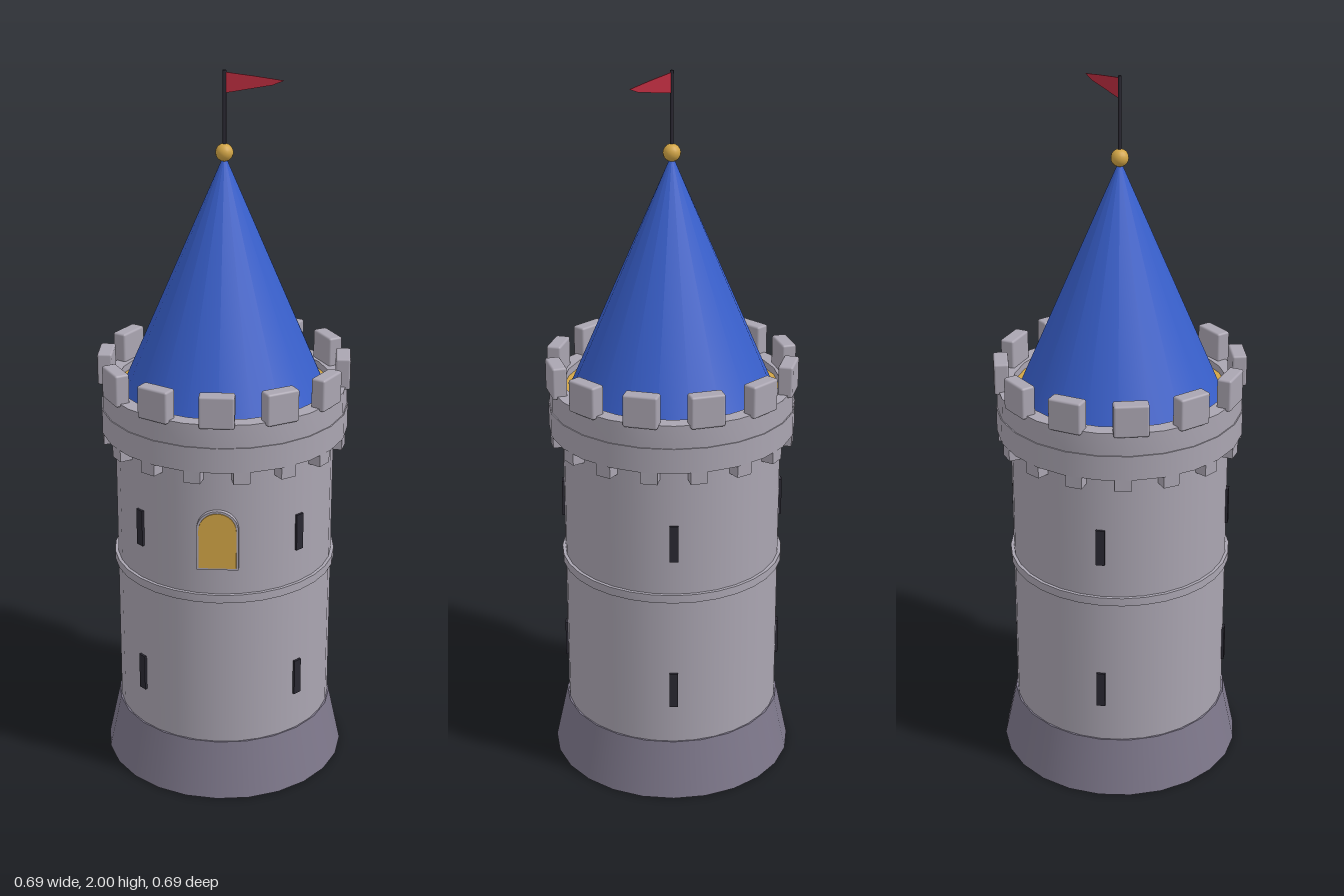
import * as THREE from 'three';
import { toCreasedNormals } from 'three/addons/utils/BufferGeometryUtils.js';
import { RoundedBoxGeometry } from 'three/addons/geometries/RoundedBoxGeometry.js';

const material = (name, color, side = THREE.FrontSide) => {
  const m = new THREE.MeshStandardMaterial({ color, side });
  m.name = name;
  return m;
};

export function createModel() {
  const stone = material('stone', 0xaaa5b1);
  const darkStone = material('darkStone', 0x7d778a);
  const blue = material('roofBlue', 0x385fcb);
  const gold = material('gold', 0xd2a546);
  const dark = material('darkIron', 0x2a2832);
  const red = material('flagRed', 0xb82c3e, THREE.DoubleSide);

  const tower = new THREE.Group();
  tower.name = 'castleTower';

  const add = (name, geometry, mat, y = 0, parent = tower) => {
    const mesh = new THREE.Mesh(geometry, mat);
    mesh.name = name;
    mesh.position.y = y;
    parent.add(mesh);
    return mesh;
  };

  // Cylinder or cone given by its bottom and top heights
  const drum = (name, mat, rBottom, rTop, y0, y1, sides = 24) =>
    add(name, new THREE.CylinderGeometry(rTop, rBottom, y1 - y0, sides), mat, (y0 + y1) / 2);

  // Hollow ring of rectangular section
  const band = (name, mat, rIn, rOut, y0, y1, sides = 24) => {
    const section = [[rOut, y0], [rOut, y1], [rIn, y1], [rIn, y0], [rOut, y0]];
    const lathe = new THREE.LatheGeometry(section.map(p => new THREE.Vector2(...p)), sides);
    return add(name, toCreasedNormals(lathe, 0.6), mat);
  };

  // Repeats a part around the tower, facing outwards
  const around = (name, geometry, mat, count, startAngle, radius, y) => {
    const group = new THREE.Group();
    group.name = name + 's';
    tower.add(group);
    for (let i = 0; i < count; i++) {
      const a = startAngle + (i / count) * Math.PI * 2;
      const mesh = add(name, geometry, mat, y, group);
      mesh.position.set(Math.sin(a) * radius, y, Math.cos(a) * radius);
      mesh.rotation.y = a;
    }
  };

  // Walls
  drum('base', darkStone, 0.345, 0.31, 0, 0.165);
  drum('wall', stone, 0.305, 0.305, 0.16, 1.02, 32);
  band('stringCourse', stone, 0.295, 0.314, 0.61, 0.634, 32);

  // Battlements
  drum('cornice', stone, 0.343, 0.343, 1.01, 1.08);
  band('parapet', stone, 0.298, 0.34, 1.08, 1.145);
  around('corbel', new THREE.BoxGeometry(0.045, 0.045, 0.05), stone, 16, Math.PI / 16, 0.314, 0.998);
  around('merlon', new RoundedBoxGeometry(0.094, 0.09, 0.041, 2, 0.006), stone, 12, 0, 0.3265, 1.181);

  // Arrow slits, two rows on the diagonals
  for (const y of [0.333, 0.787]) {
    around('arrowSlit', new THREE.BoxGeometry(0.024, 0.106, 0.02), dark, 4, Math.PI / 4, 0.301, y);
  }

  // Arched window: stone frame with a glowing pane
  const arch = (halfWidth, bottom, spring) => {
    const s = new THREE.Shape();
    s.moveTo(-halfWidth, bottom);
    s.lineTo(halfWidth, bottom);
    s.lineTo(halfWidth, spring);
    s.absarc(0, spring, halfWidth, 0, Math.PI, false);
    s.closePath();
    return s;
  };
  const extrude = (shape, depth) =>
    new THREE.ExtrudeGeometry(shape, { depth, bevelEnabled: false, curveSegments: 10 });
  add('windowFrame', extrude(arch(0.057, 0.713, 0.83), 0.038), stone).position.z = 0.278;
  add('windowPane', extrude(arch(0.051, 0.719, 0.83), 0.004), gold).position.z = 0.315;

  // Roof
  band('eavesTrim', gold, 0.27, 0.302, 1.09, 1.125, 20);
  add('roof', new THREE.ConeGeometry(0.288, 0.67, 20), blue, 1.445);
  add('finial', new THREE.SphereGeometry(0.024, 16, 12), gold, 1.783);

  // Flag
  drum('flagPole', dark, 0.005, 0.005, 1.78, 2, 8);
  const pennant = new THREE.Shape([[0, 1.94], [0.125, 1.962], [0.155, 1.974], [0.08, 1.985], [0, 1.995]]
    .map(p => new THREE.Vector2(...p)));
  add('flag', extrude(pennant, 0.003), red).position.z = -0.0015;

  return tower;
}
